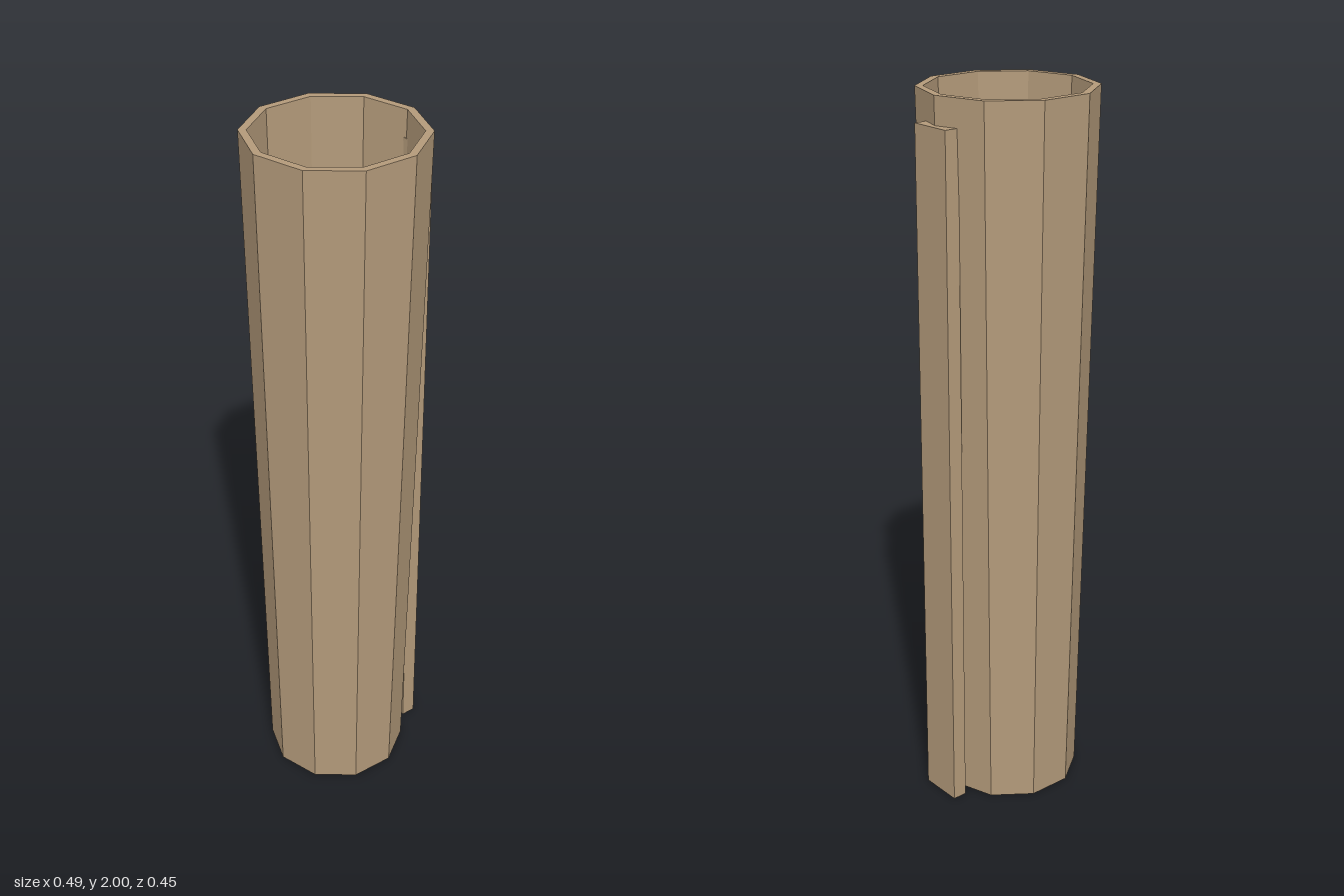
import * as THREE from 'three';

export function createModel() {
  const group = new THREE.Group();
  const material = new THREE.MeshStandardMaterial({ color: 0xb39a7a, flatShading: true });

  // Ten-sided tapered tube, open at the top, with a thin floor
  const profile = [
    [0, 0], [0.199, 0], [0.238, 2], [0.2165, 2], [0.178, 0.008], [0, 0.008],
  ].map(([r, y]) => new THREE.Vector2(r, y));
  const tube = new THREE.Mesh(new THREE.LatheGeometry(profile, 10, Math.PI / 2), material);
  tube.name = 'taperedTube';
  tube.position.x = -0.008;
  group.add(tube);

  // Straight upright strip along the left side
  const strip = new THREE.Mesh(new THREE.BoxGeometry(0.041, 1.925, 0.124), material);
  strip.name = 'sideStrip';
  strip.position.set(0.2245, 0.9625, -0.001);
  group.add(strip);

  return group;
}
